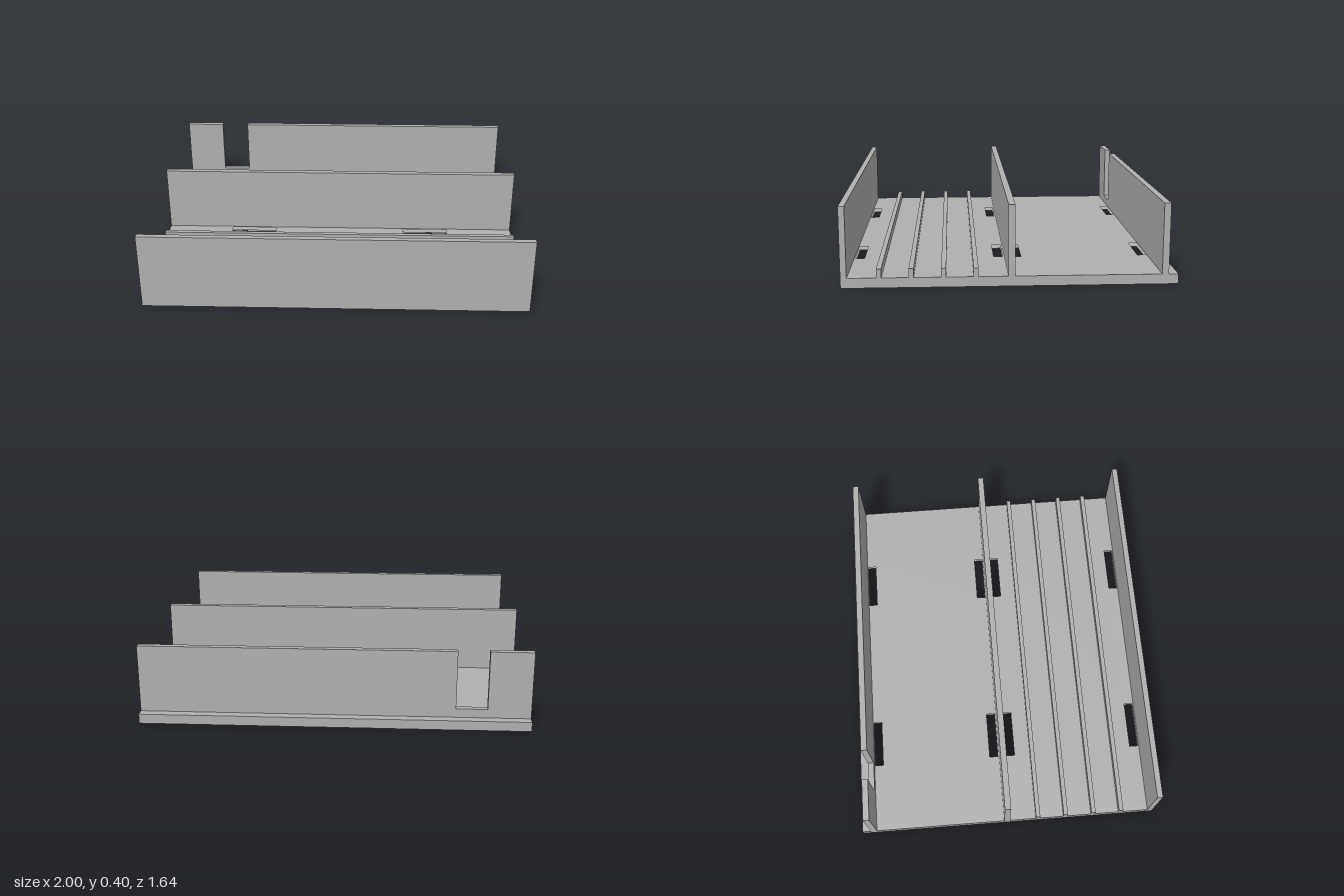
import * as THREE from 'three';

const LENGTH = 2, HALF_DEPTH = 0.82;
const POCKET_DEPTH = 0.03, FLOOR = 0.05, WALL_TOP = 0.403, RIB_TOP = 0.094;

function rectPath(target, x0, x1, z0, z1) {
  // shape y becomes -z once the plate is laid flat
  target.moveTo(x0, -z0);
  target.lineTo(x1, -z0);
  target.lineTo(x1, -z1);
  target.lineTo(x0, -z1);
  target.closePath();
  return target;
}

// Flat plate between two heights with rectangular openings [x0, x1, z0, z1]
function plate(name, y0, y1, openings, material) {
  const shape = rectPath(new THREE.Shape(), -LENGTH / 2, LENGTH / 2, -HALF_DEPTH, HALF_DEPTH);
  for (const o of openings) shape.holes.push(rectPath(new THREE.Path(), ...o));
  const geometry = new THREE.ExtrudeGeometry(shape, { depth: y1 - y0, bevelEnabled: false });
  geometry.rotateX(-Math.PI / 2);
  geometry.translate(0, y0, 0);
  const mesh = new THREE.Mesh(geometry, material);
  mesh.name = name;
  return mesh;
}

// Full-length strip standing on the floor
function strip(name, z0, z1, top, material) {
  const mesh = new THREE.Mesh(new THREE.BoxGeometry(LENGTH, top - FLOOR, z1 - z0), material);
  mesh.position.set(0, (top + FLOOR) / 2, (z0 + z1) / 2);
  mesh.name = name;
  return mesh;
}

export function createModel() {
  const grey = new THREE.MeshStandardMaterial({ color: 0xb0b0b0 });
  grey.name = 'grey';
  const model = new THREE.Group();
  model.name = 'dividedTray';

  // Strap pockets below, each opening through a slot at both ends
  const pockets = [], slots = [];
  for (const x of [-0.5, 0.5]) {
    for (const [z0, z1] of [[-0.737, -0.029], [0.02, 0.784]]) {
      const a = x - 0.128, b = x + 0.128;
      pockets.push([a, b, z0, z1]);
      slots.push([a, b, z0, z0 + 0.047], [a, b, z1 - 0.047, z1]);
    }
  }
  model.add(plate('basePockets', 0, POCKET_DEPTH, pockets, grey));
  model.add(plate('baseFloor', POCKET_DEPTH, FLOOR, slots, grey));

  // Upright walls
  model.add(strip('frontWall', 0.79, HALF_DEPTH, WALL_TOP, grey));
  model.add(strip('middleWall', -0.022, 0.011, WALL_TOP, grey));

  // Back wall with a notch cut from its top edge
  const outline = new THREE.Shape([
    [-1, FLOOR], [1, FLOOR], [1, WALL_TOP], [-0.62, WALL_TOP],
    [-0.62, 0.096], [-0.78, 0.096], [-0.78, WALL_TOP], [-1, WALL_TOP],
  ].map(([x, y]) => new THREE.Vector2(x, y)));
  const backWall = new THREE.Mesh(
    new THREE.ExtrudeGeometry(outline, { depth: 0.033, bevelEnabled: false }), grey);
  backWall.position.z = -0.773;
  backWall.name = 'backWall';
  model.add(backWall);

  // Low floor ribs in the front bay
  for (let i = 0; i < 4; i++) {
    const z = 0.168 + i * 0.156;
    model.add(strip(`floorRib${i + 1}`, z - 0.012, z + 0.012, RIB_TOP, grey));
  }
  return model;
}
